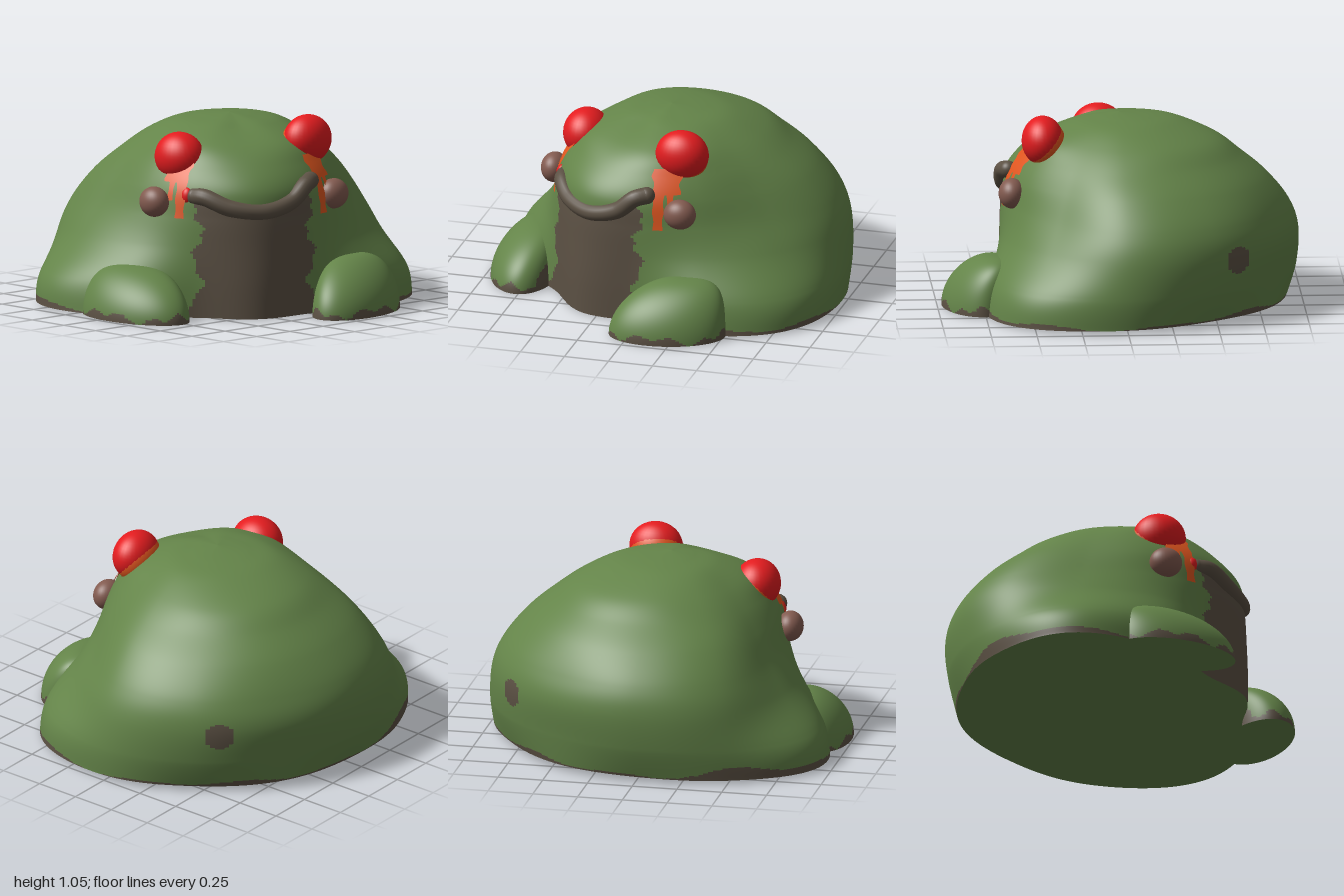
import * as THREE from 'three';

const RAD = Math.PI / 180;
const FRONT = 30 * RAD; // heading of the face, measured from +x towards +z

// Body cross-sections: height, then radius every 30 degrees from face to rump (mirrored)
const RINGS = [
  [0.0, 0.69, 0.66, 0.84, 0.95, 0.98, 0.92, 0.92],
  [0.2, 0.69, 0.66, 0.81, 0.93, 0.99, 0.97, 0.95],
  [0.4, 0.68, 0.65, 0.71, 0.82, 0.96, 0.98, 0.97],
  [0.55, 0.67, 0.64, 0.65, 0.72, 0.89, 0.93, 0.92],
  [0.7, 0.65, 0.62, 0.60, 0.63, 0.77, 0.81, 0.82],
  [0.82, 0.56, 0.55, 0.53, 0.54, 0.63, 0.67, 0.69],
  [0.92, 0.43, 0.45, 0.44, 0.43, 0.49, 0.54, 0.56],
  [1.0, 0.22, 0.26, 0.27, 0.29, 0.33, 0.35, 0.35],
  [1.03, 0.11, 0.13, 0.13, 0.15, 0.18, 0.20, 0.20],
  [1.045, 0, 0, 0, 0, 0, 0, 0],
];
// Hind legs swelling out of the body: angle from the face, spread in degrees, amount
const HAUNCHES = [[90, 22, 0.11], [-84, 24, 0.07]];

const spline = (a, b, c, d, t) =>
  b + 0.5 * t * (c - a + t * (2 * a - 5 * b + 4 * c - d + t * (3 * (b - c) + d - a)));

const signed = (a) => (a > Math.PI ? a - 2 * Math.PI : a);

// Radius of one ring at an angle from the face
function ringRadius(ring, angle) {
  const f = angle / (30 * RAD), i = Math.floor(f);
  const at = (k) => {
    const m = ((k % 12) + 12) % 12;
    return ring[1 + (m > 6 ? 12 - m : m)];
  };
  return spline(at(i - 1), at(i), at(i + 1), at(i + 2), f - i);
}

const floorY = (x, z) => Math.max(0, 0.02 - 0.015 * x - 0.01 * z);

// Point on the body: angle from the face, ring position v, and an outward offset
function bodyPoint(angle, v, offset = 0) {
  const i = Math.min(Math.floor(v), RINGS.length - 2);
  const at = (k) => RINGS[Math.max(0, Math.min(RINGS.length - 1, k))];
  const four = [at(i - 1), at(i), at(i + 1), at(i + 2)];
  const h = spline(...four.map((g) => g[0]), v - i);
  let r = Math.max(0, spline(...four.map((g) => ringRadius(g, angle)), v - i)) + offset;
  for (const [deg, spread, amount] of HAUNCHES) {
    const d = (signed(angle) / RAD - deg) / spread;
    r += amount * Math.exp(-d * d - Math.pow(Math.max(0, h) / 0.28, 3));
  }
  const x = r * Math.cos(angle + FRONT), z = r * Math.sin(angle + FRONT);
  return new THREE.Vector3(x, h + floorY(x, z) * Math.max(0, 1 - v), z);
}

// Closed loops stacked into a smooth skin; paint() picks a material index per face
function skin(name, point, nu, nv, paint, materials) {
  const pos = [], faces = materials.map(() => []);
  for (let j = 0; j <= nv; j++)
    for (let i = 0; i < nu; i++) pos.push(...point((i / nu) * 2 * Math.PI, j / nv).toArray());
  for (let j = 0; j < nv; j++)
    for (let i = 0; i < nu; i++) {
      const k = (i + 1) % nu, a = j * nu + i, b = j * nu + k;
      const list = faces[paint(((i + 0.5) / nu) * 2 * Math.PI, (j + 0.5) / nv)];
      list.push(a, a + nu, b);
      if (j < nv - 1) list.push(b, a + nu, b + nu);
    }
  const g = new THREE.BufferGeometry();
  g.setAttribute('position', new THREE.Float32BufferAttribute(pos, 3));
  g.setIndex(faces.flat());
  let start = 0;
  faces.forEach((f, m) => {
    g.addGroup(start, f.length, m);
    start += f.length;
  });
  g.computeVertexNormals();
  const mesh = new THREE.Mesh(g, materials);
  mesh.name = name + 'Skin';

  // Flat underside
  const cap = [], base = [];
  for (let i = 0; i < nu; i++) base.push(point((i / nu) * 2 * Math.PI, 0));
  const mid = base.reduce((s, p) => s.add(p), new THREE.Vector3()).divideScalar(nu);
  base.forEach((p, i) => cap.push(...mid.toArray(), ...p.toArray(), ...base[(i + 1) % nu].toArray()));
  const cg = new THREE.BufferGeometry();
  cg.setAttribute('position', new THREE.Float32BufferAttribute(cap, 3));
  cg.computeVertexNormals();
  const under = new THREE.Mesh(cg, materials[0]);
  under.name = name + 'Underside';

  const group = new THREE.Group();
  group.name = name;
  group.add(mesh, under);
  return group;
}

export function createModel() {
  const mat = (name, color, side = THREE.FrontSide) => {
    const m = new THREE.MeshStandardMaterial({ color, side });
    m.name = name;
    return m;
  };
  const green = mat('mossGreen', 0x648449);
  const mud = mat('mudBrown', 0x5c5144);
  const red = mat('eyeRed', 0xe41c1f);
  const orange = mat('dripOrange', 0xe0561f, THREE.DoubleSide);
  const brown = mat('bumpBrown', 0x835b50);
  const frog = new THREE.Group();
  frog.name = 'frog';

  // Body with a muddy throat, a ragged muddy rim and a spot on the rump
  const top = RINGS.length - 1;
  const rim = (a) => 0.03 + 0.03 * Math.sin(3 * a + 1) * Math.sin(7 * a);
  const paintBody = (a, t) => {
    const v = t * top, d = Math.abs(signed(a)) / RAD;
    const edge = 29 + 2.5 * Math.sin(v * 4 + 1) + 1.2 * Math.sin(v * 11) + 5 * Math.max(0, 1 - v);
    if (d < edge && v < 3.3 + 0.5 * (d / 30) ** 2) return 1;
    if (v * 0.2 < rim(a) + 0.05 * Math.exp(-(((a / RAD - 115) / 20) ** 2))) return 1;
    return Math.hypot((a - 201 * RAD) * 0.95, (v - 1.85) * 0.2) < 0.08 ? 1 : 0;
  };
  frog.add(skin('body', (a, t) => bodyPoint(a, t * top), 240, 180, paintBody, [green, mud]));

  // Arms: flat-bottomed domes leaning back into the body
  // [name, x, z, half length, half width, height, heading, muddy inner side in degrees, lean]
  [
    ['leftArm', 0.79, -0.2, 0.32, 0.18, 0.31, 80, 75, 0.09],
    ['rightArm', 0.1, 0.8, 0.34, 0.19, 0.29, -8, 300, -0.09],
  ].forEach(([name, x, z, len, wid, h, deg, inner, lean]) => {
    const c = Math.cos(deg * RAD), s = Math.sin(deg * RAD);
    const point = (a, t) => {
      const r = Math.pow(Math.max(0, Math.cos((t * Math.PI) / 2)), 0.75);
      const rise = Math.sin((t * Math.PI) / 2);
      const p = r * len * Math.cos(a) - 0.1 * rise * rise;
      const q = r * wid * Math.sin(a) + lean * rise * rise;
      const px = x + p * c - q * s, pz = z + p * s + q * c;
      return new THREE.Vector3(px, floorY(px, pz) * (1 - t) + h * rise, pz);
    };
    const paint = (a, t) =>
      t * h * 1.5 < rim(a) || Math.hypot((a / RAD - inner) / 32, t / 0.34) < 1 ? 1 : 0;
    frog.add(skin(name, point, 96, 48, paint, [green, mud]));
  });

  // Eyes in orange sockets, and cheek bumps
  const ball = (name, material, center, size) => {
    const m = new THREE.Mesh(new THREE.SphereGeometry(1, 32, 24), material);
    m.name = name;
    m.position.set(...center);
    m.scale.set(...size);
    frog.add(m);
  };
  ball('rightEye', red, [0.087, 0.86, 0.46], [0.146, 0.135, 0.128]);
  ball('rightSocket', orange, [0.075, 0.84, 0.445], [0.144, 0.132, 0.126]);
  ball('leftEye', red, [0.425, 0.925, -0.18], [0.115, 0.135, 0.148]);
  ball('leftSocket', orange, [0.41, 0.905, -0.175], [0.113, 0.132, 0.146]);
  ball('rightCheekBump', brown, [0.08, 0.63, 0.645], [0.09, 0.083, 0.073]);
  ball('leftCheekBump', brown, [0.595, 0.64, -0.215], [0.073, 0.083, 0.09]);
  ball('mouthCornerSpot', red, [0.245, 0.67, 0.55], [0.036, 0.048, 0.036]);

  // Lip
  const lipPath = new THREE.CatmullRomCurve3([
    [0.28, 0.67, 0.53], [0.35, 0.67, 0.52], [0.47, 0.615, 0.44], [0.58, 0.595, 0.29],
    [0.625, 0.64, 0.13], [0.63, 0.72, 0.03], [0.605, 0.735, -0.03],
  ].map((p) => new THREE.Vector3(...p)));
  const lip = new THREE.Mesh(new THREE.TubeGeometry(lipPath, 60, 0.047, 16), mud);
  lip.name = 'lip';
  frog.add(lip);
  [lipPath.points[0], lipPath.points[6]].forEach((p) =>
    ball('lipEnd', mud, p.toArray(), [0.047, 0.047, 0.047]));

  // Orange drips hugging the skin below each eye: [angle, half width, lowest v, highest v]
  for (const side of [1, -1])
    [[39, 3.2, 3.0, 5.0], [45, 2.0, 3.6, 5.2], [43.5, 9, 4.3, 5.4]].forEach(([deg, half, lo, hi]) => {
      const g = new THREE.PlaneGeometry(1, 1, 8, 20), p = g.attributes.position;
      for (let i = 0; i < p.count; i++) {
        const rise = p.getY(i) + 0.5, v = lo + rise * (hi - lo);
        const w = half * (0.7 + 0.3 * rise + 0.1 * Math.sin(v * 9));
        // same sweep on both cheeks so that every plate faces outwards
        const a = side * deg - p.getX(i) * 2 * w;
        p.setXYZ(i, ...bodyPoint(a * RAD, v, 0.009).toArray());
      }
      g.computeVertexNormals();
      const drip = new THREE.Mesh(g, orange);
      drip.name = side > 0 ? 'rightDrip' : 'leftDrip';
      frog.add(drip);
    });

  return frog;
}
